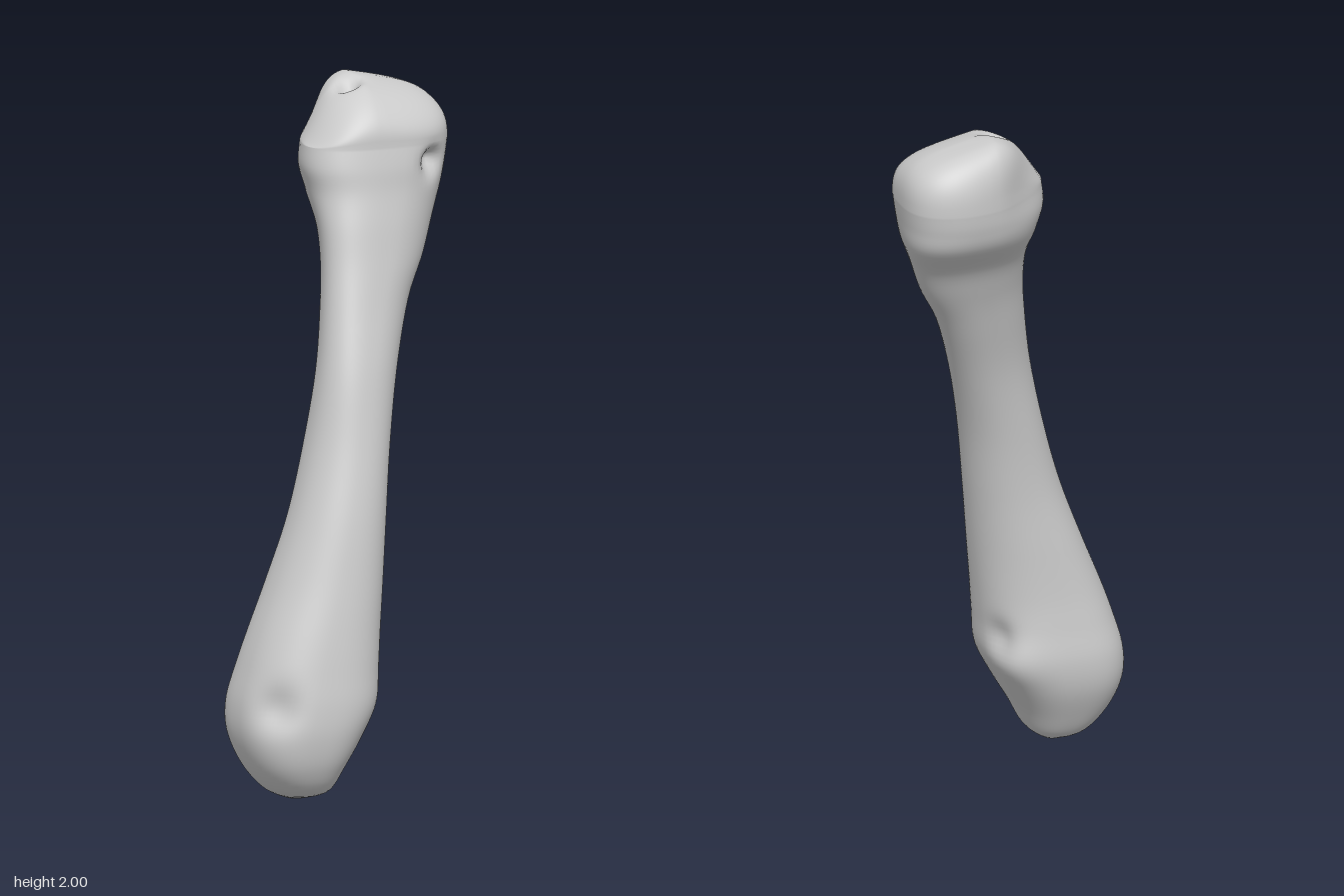
import * as THREE from 'three';

const SEG = 72;   // points around each cross-section
const ROWS = 90;  // cross-sections along the shaft

// Cross-sections from the lower end up: y, xMin, xMax, zMin, zMax, skew, roundness
const SECTIONS = [
  [0.00, -0.23, -0.17, 0.13, 0.19, 0.0, 0.9],
  [0.03, -0.295, -0.125, 0.075, 0.285, 0.1, 0.85],
  [0.10, -0.353, -0.088, 0.03, 0.335, 0.1, 0.8],
  [0.19, -0.387, -0.035, -0.01, 0.357, 0.1, 0.78],
  [0.28, -0.387, 0.01, -0.023, 0.358, 0.1, 0.78],
  [0.38, -0.36, 0.022, -0.013, 0.345, 0.1, 0.82],
  [0.48, -0.325, 0.032, -0.004, 0.33, 0.1, 0.86],
  [0.62, -0.268, 0.048, 0.00, 0.307, 0.1, 0.9],
  [0.80, -0.20, 0.07, 0.00, 0.275, 0.05, 0.92],
  [1.00, -0.14, 0.10, -0.02, 0.23, 0.0, 0.92],
  [1.20, -0.095, 0.15, -0.06, 0.185, -0.2, 0.92],
  [1.38, -0.063, 0.217, -0.123, 0.13, -0.32, 0.9],
  [1.50, -0.047, 0.285, -0.175, 0.095, -0.36, 0.88],
  [1.60, -0.044, 0.328, -0.228, 0.07, -0.34, 0.85],
  [1.69, -0.052, 0.368, -0.32, 0.046, -0.25, 0.8],
  [1.76, -0.07, 0.38, -0.35, 0.035, -0.15, 0.75],
  [1.82, -0.068, 0.388, -0.36, 0.022, -0.1, 0.72],
];
const COLUMNS = [1, 2, 3, 4, 5, 6].map((k) =>
  new THREE.SplineCurve(SECTIONS.map((s) => new THREE.Vector2(s[0], s[k]))));

// Dimples and bumps: centre, radius, push direction and depth
const DENTS = [
  { at: [0.30, 1.76, 0.01], r: 0.035, push: [-0.02, 0.015, -0.05] }, // pit below the upper joint
  { at: [-0.05, 1.85, -0.36], r: 0.17, push: [0.055, 0, 0.055] },    // bevelled back corner
  { at: [-0.32, 0.28, 0.30], r: 0.06, push: [0.018, 0, -0.022] },    // side pits of the lower end
  { at: [0.0, 0.35, 0.07], r: 0.05, push: [-0.02, 0, 0.01] },
  { at: [-0.02, 0.26, 0.0], r: 0.09, push: [0.016, 0, -0.016] },     // lower back knob
];

const softPower = (v, p) => Math.sign(v) * Math.pow(Math.abs(v), p);

// One rounded, skewed cross-section at parameter t
function ring(t) {
  const p = COLUMNS.map((c) => c.getPoint(t));
  const [x0, x1, z0, z1, skew, round] = p.map((q) => q.y);
  return Array.from({ length: SEG }, (_, i) => {
    const a = (i / SEG) * Math.PI * 2;
    return new THREE.Vector3(
      (x0 + x1) / 2 + (x1 - x0) / 2 * softPower(Math.cos(a), round),
      p[0].x,
      (z0 + z1) / 2 + (z1 - z0) / 2 * softPower(Math.sin(a + skew), round));
  });
}

// Saddle-shaped upper joint surface: ridge, two slopes and a small notch
function jointHeight(x, z) {
  const left = Math.max(0.125 - x, 0), right = Math.max(x - 0.125, 0);
  const front = Math.max(z + 0.2, 0), back = Math.max(-0.27 - z, 0);
  const notch = 0.045 * Math.exp(-((x - 0.095) ** 2 + (z + 0.16) ** 2) / 0.0012);
  return 2.0 - 0.1 * left - 3.6 * left ** 2 - 0.2 * right
    - 0.1 * front - 1.3 * front ** 2 - 4 * back ** 2 - notch;
}

function boneGeometry() {
  const rings = [];
  for (let j = 0; j <= ROWS; j++) rings.push(ring(j / ROWS));

  // Upper end: shrink the last section inward over the joint surface
  const rim = rings[ROWS];
  const centre = new THREE.Vector3(0.15, 1.82, -0.175);
  for (let k = 1; k < 28; k++) {
    const s = Math.cos((k / 28) * Math.PI / 2);
    const lift = Math.pow(1 - s ** 5, 1 / 3);
    rings.push(rim.map((v) => {
      const q = centre.clone().lerp(v, s);
      q.y = THREE.MathUtils.lerp(1.82, jointHeight(q.x, q.z), lift);
      return q;
    }));
  }

  // Press in the dimples and raise the bumps
  for (const d of DENTS) {
    const c = new THREE.Vector3(...d.at), push = new THREE.Vector3(...d.push);
    for (const v of rings.flat()) {
      v.addScaledVector(push, Math.exp(-v.distanceToSquared(c) / (d.r * d.r)));
    }
  }

  const points = rings.flat();
  const index = [];
  for (let j = 0; j < rings.length - 1; j++) {
    for (let i = 0; i < SEG; i++) {
      const k = (i + 1) % SEG;
      const a = j * SEG + i, b = j * SEG + k, c = a + SEG, d = b + SEG;
      index.push(a, c, b, b, c, d);
    }
  }
  // Close both ends
  const low = points.push(new THREE.Vector3(-0.2, 0, 0.16)) - 1;
  const high = points.push(new THREE.Vector3(centre.x, jointHeight(centre.x, centre.z), centre.z)) - 1;
  const last = (rings.length - 1) * SEG;
  for (let i = 0; i < SEG; i++) {
    const k = (i + 1) % SEG;
    index.push(low, i, k, high, last + k, last + i);
  }

  const geometry = new THREE.BufferGeometry().setFromPoints(points);
  geometry.setIndex(index);
  geometry.computeVertexNormals();
  return geometry;
}

export function createModel() {
  const group = new THREE.Group();
  group.name = 'bone';
  const bone = new THREE.Mesh(boneGeometry(), new THREE.MeshStandardMaterial({ color: 0xcccccc }));
  bone.name = 'boneShaftAndEnds';
  group.add(bone);
  return group;
}
